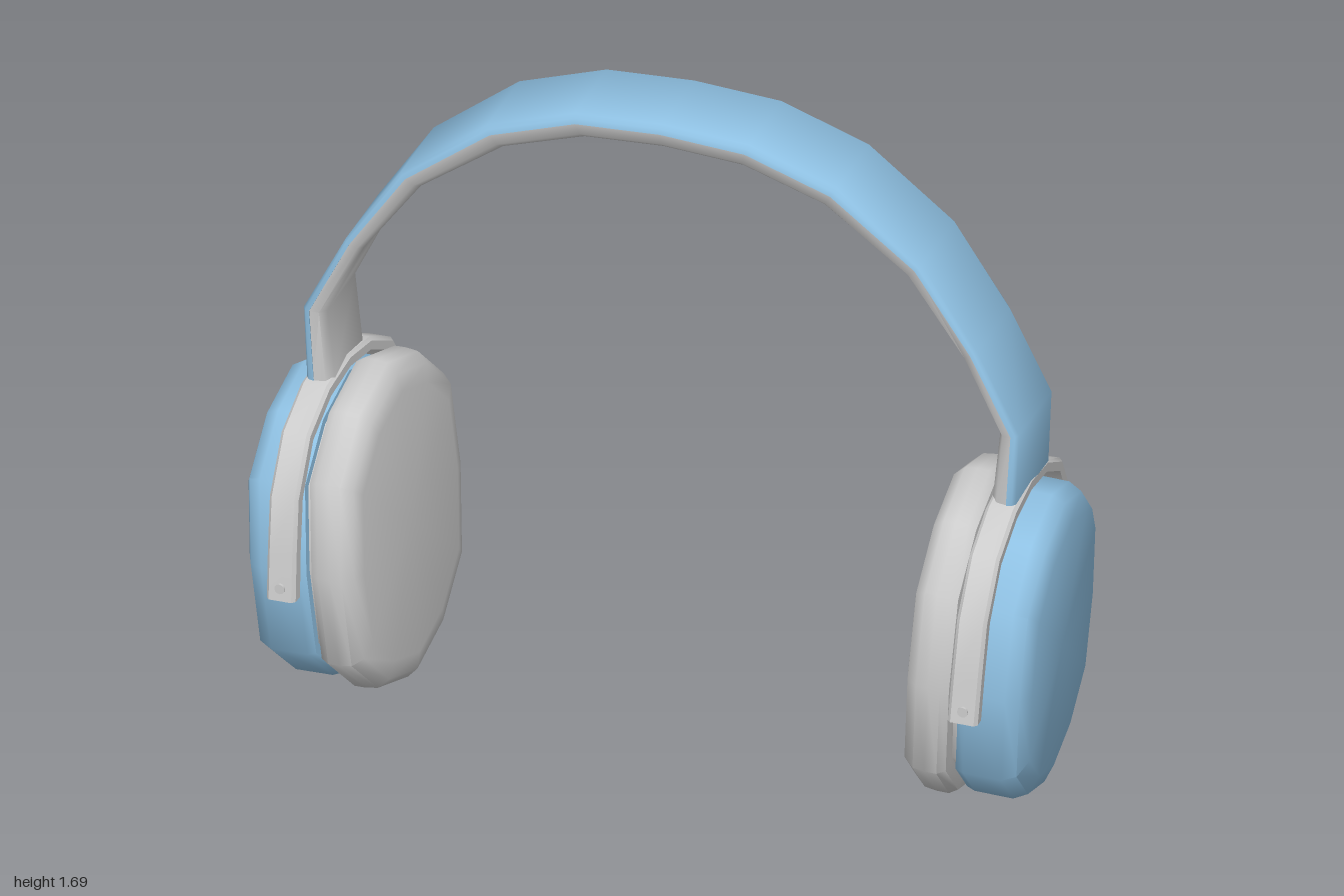
import * as THREE from 'three';
import { toCreasedNormals } from 'three/addons/utils/BufferGeometryUtils.js';

const grey = new THREE.MeshStandardMaterial({ color: 0xcccccc });
const blue = new THREE.MeshStandardMaterial({ color: 0x8fc1e3 });

// Skin a list of closed rings (counter-clockwise seen from the far end) and cap both ends.
function loft(rings, crease) {
  const pos = [];
  const tri = (...pts) => pts.forEach((p) => pos.push(p.x, p.y, p.z));
  const n = rings[0].length;
  const centre = (ring) => ring.reduce((s, p) => s.add(p), new THREE.Vector3()).divideScalar(n);
  const first = rings[0], last = rings[rings.length - 1];
  const c0 = centre(first), c1 = centre(last);
  for (let j = 0; j < n; j++) {
    const k = (j + 1) % n;
    for (let i = 0; i + 1 < rings.length; i++) {
      const a = rings[i], b = rings[i + 1];
      tri(a[j], a[k], b[k]);
      tri(a[j], b[k], b[j]);
    }
    tri(c0, first[k], first[j]);
    tri(c1, last[j], last[k]);
  }
  const geo = new THREE.BufferGeometry();
  geo.setAttribute('position', new THREE.Float32BufferAttribute(pos, 3));
  return toCreasedNormals(geo, crease);
}

// Arch swept over outer and inner half-curves; profile is [0 outer .. 1 inner, z].
const mirrorHalf = (half) => [...half.slice(1).reverse().map(([x, y]) => [-x, y]), ...half];
function arch(outerHalf, innerHalf, profile, crease) {
  const outer = mirrorHalf(outerHalf), inner = mirrorHalf(innerHalf);
  return loft(outer.map(([ox, oy], i) => {
    const [ix, iy] = inner[i];
    return profile.map(([t, z]) => new THREE.Vector3(ox + (ix - ox) * t, oy + (iy - oy) * t, z));
  }), crease);
}

// Twelve-sided oval outline of the ear cups as [y, z] with unit radii
const half = [[1, 0], [0.87, 0.52], [0.57, 0.92], [0, 1], [-0.57, 0.92], [-0.87, 0.51], [-1, 0]];
const outline = [...half, ...half.slice(1, -1).reverse().map(([y, z]) => [y, -z])];

// Oval solid along x: steps are [x, scale], x rising outward on the given side.
function oval(steps, ry, rz, cy, side) {
  const rings = steps.map(([x, s]) =>
    outline.map(([y, z]) => new THREE.Vector3(x * side, cy + y * ry * s, z * rz * s)));
  if (side < 0) rings.reverse();
  return loft(rings, 0.85);
}

function add(parent, name, geometry, material) {
  const mesh = new THREE.Mesh(geometry, material);
  mesh.name = name;
  parent.add(mesh);
  return mesh;
}

// Headband: coloured outer shell with a soft pad beneath
function headband() {
  const group = new THREE.Group();
  group.name = 'headband';
  group.position.z = -0.007;
  const outer = [[0, 1.7], [0.22, 1.687], [0.44, 1.612], [0.655, 1.445], [0.795, 1.235], [0.9, 1.03], [0.892, 0.84]];
  const inner = [[0, 1.632], [0.2, 1.62], [0.405, 1.553], [0.612, 1.405], [0.755, 1.21], [0.847, 1.02], [0.828, 0.84]];
  add(group, 'bandShell', arch(outer, inner,
    [[0, -0.112], [0, 0.112], [0.12, 0.122], [0.32, 0.125], [0.32, -0.125], [0.12, -0.122]], 0.9), blue);
  add(group, 'bandPad', arch(outer, inner,
    [[0.3, -0.123], [0.3, 0.123], [0.75, 0.118], [1, 0.095], [1, -0.095], [0.75, -0.118]], 0.9), grey);
  return group;
}

// Ear cup: shell, narrow neck and cushion, tilted together
function earCup(side) {
  const group = new THREE.Group();
  group.name = side > 0 ? 'leftEarCup' : 'rightEarCup';
  group.position.set(0.8 * side, 0.43, 0);
  group.rotation.set(0, 0.07 * side, -0.065 * side);
  add(group, 'cupShell', oval(
    [[0, 0.9], [0, 0.98], [0.02, 1], [0.115, 1], [0.148, 0.955], [0.168, 0.83]], 0.4, 0.312, -0.007, side), blue);
  add(group, 'cupNeck', oval([[-0.03, 0.92], [0.01, 0.92]], 0.4, 0.312, -0.003, side), grey);
  add(group, 'cushion', oval(
    [[-0.135, 0.82], [-0.126, 0.93], [-0.1, 0.99], [-0.07, 1], [-0.04, 1], [-0.02, 0.97], [-0.015, 0.9]],
    0.425, 0.33, 0, side), grey);
  return group;
}

// Yoke: arched fork over the cup with a pivot pin at each tip
function yoke(side) {
  const group = new THREE.Group();
  group.name = side > 0 ? 'leftYoke' : 'rightYoke';
  group.position.set(0.858 * side, 0.857, 0);
  group.rotation.set(0, 0.05 * side, -0.04 * side);
  const outer = [[0, 0], [0.13, -0.02], [0.255, -0.085], [0.342, -0.217], [0.368, -0.357], [0.385, -0.472]];
  const inner = [[0, -0.03], [0.12, -0.048], [0.235, -0.108], [0.31, -0.227], [0.335, -0.357], [0.35, -0.472]];
  const w = 0.037;
  const arm = arch(outer, inner,
    [[0, -w + 0.008], [0, w - 0.008], [0.25, w], [1, w], [1, -w], [0.25, -w]], 0.6);
  add(group, 'yokeArch', arm.rotateY(Math.PI / 2), grey);
  for (const end of [-1, 1]) {
    const pin = add(group, 'pivotPin', new THREE.CylinderGeometry(0.013, 0.013, 0.09, 12), grey);
    pin.rotation.x = Math.PI / 2;
    pin.position.set(0, -0.44, 0.34 * end);
  }
  return group;
}

export function createModel() {
  const model = new THREE.Group();
  model.name = 'headphones';
  model.add(headband());
  for (const side of [-1, 1]) model.add(earCup(side), yoke(side));
  return model;
}
